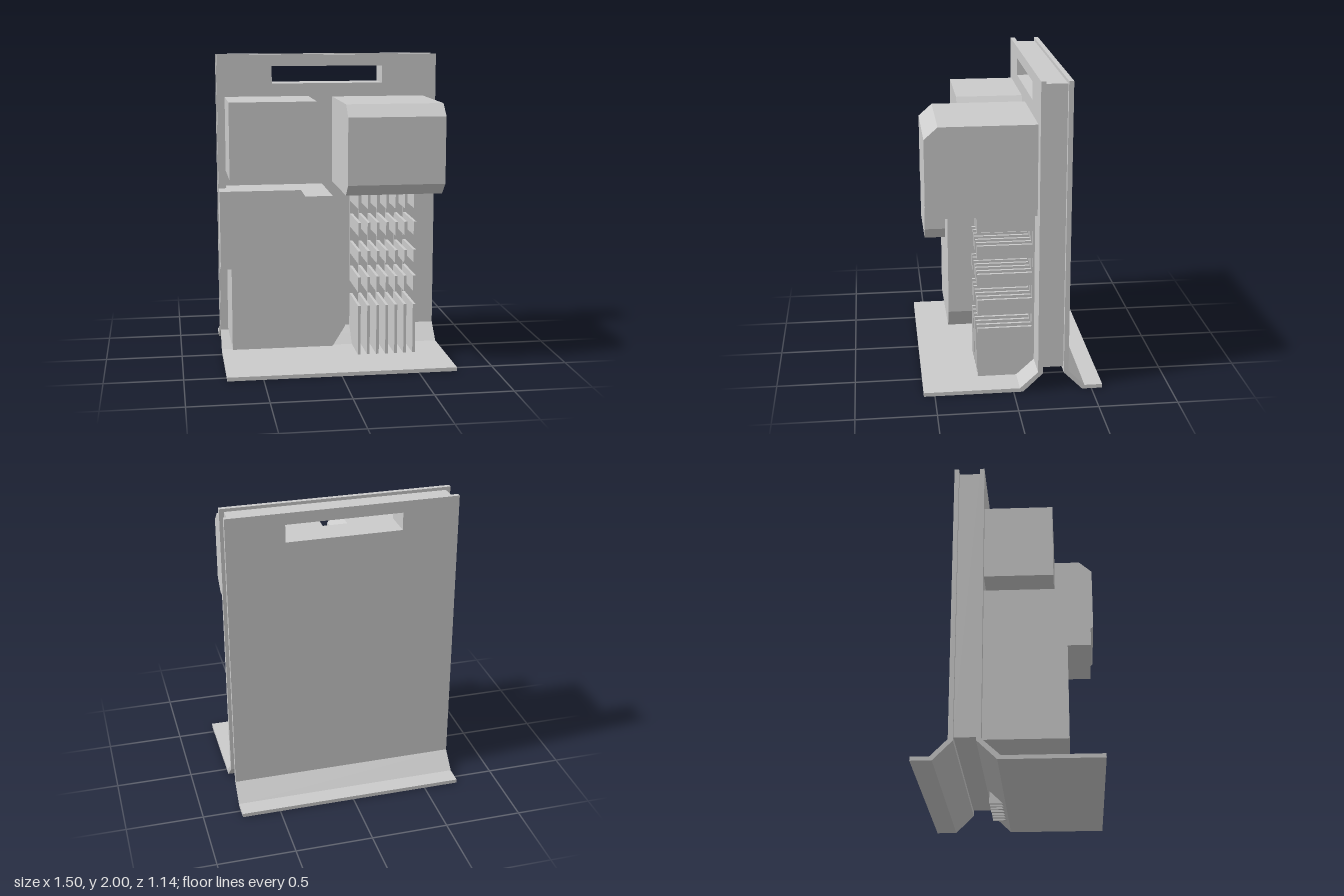
import * as THREE from 'three';

const material = new THREE.MeshStandardMaterial({ color: 0xcccccc, flatShading: true, side: THREE.DoubleSide });
const LEFT = 0.75, RIGHT = -0.73;

const shapeOf = (points) => new THREE.Shape(points.map(([a, b]) => new THREE.Vector2(a, b)));

// Outline in x,y extruded from z0 to z1
function extrudeZ(name, shape, z0, z1) {
  const geo = new THREE.ExtrudeGeometry(shape, { depth: z1 - z0, bevelEnabled: false });
  geo.translate(0, 0, z0);
  const mesh = new THREE.Mesh(geo, material);
  mesh.name = name;
  return mesh;
}

// Profile in z,y extruded from x0 to x1
function extrudeX(name, points, x0, x1) {
  const shape = shapeOf(points.map(([z, y]) => [-z, y]));
  const geo = new THREE.ExtrudeGeometry(shape, { depth: x1 - x0, bevelEnabled: false });
  geo.rotateY(Math.PI / 2);
  geo.translate(x0, 0, 0);
  const mesh = new THREE.Mesh(geo, material);
  mesh.name = name;
  return mesh;
}

// Upright panel with the handle slot cut through it
function slottedPanel(name, x0, x1, y0, y1, z0, z1) {
  const shape = shapeOf([[x0, y0], [x1, y0], [x1, y1], [x0, y1]]);
  shape.holes.push(new THREE.Path([[-0.365, 1.81], [-0.365, 1.925], [0.38, 1.925], [0.38, 1.81]]
    .map(([x, y]) => new THREE.Vector2(x, y))));
  return extrudeZ(name, shape, z0, z1);
}

// Block with its two left-hand corners cut: cx is where the cut starts, cy0 and cy1 its heights
function cutBlock(name, [x0, cx, x1], [y0, cy0, cy1, y1], z0, z1) {
  return extrudeZ(name, shapeOf([
    [x0, y0], [cx, y0], [x1, cy0], [x1, cy1], [cx, y1], [x0, y1],
  ]), z0, z1);
}

export function createModel() {
  const model = new THREE.Group();
  model.name = 'equipmentStand';

  // Two outer plates around a slightly smaller core
  model.add(
    slottedPanel('frontPlate', RIGHT, LEFT, 0.13, 2, -0.185, -0.155),
    slottedPanel('backPlate', RIGHT, LEFT, 0.13, 2, -0.35, -0.32),
    slottedPanel('core', -0.70, 0.72, 0.15, 1.98, -0.32, -0.185),
  );

  // Bent feet
  model.add(
    extrudeX('frontFoot', [
      [-0.155, 0.13], [-0.04, 0.025], [0.57, 0.025], [0.57, 0],
      [-0.06, 0], [-0.185, 0.12], [-0.185, 0.13],
    ], RIGHT, LEFT),
    extrudeX('backFoot', [
      [-0.35, 0.13], [-0.455, 0.025], [-0.57, 0.025], [-0.57, 0],
      [-0.44, 0], [-0.32, 0.12], [-0.32, 0.13],
    ], RIGHT, LEFT),
  );

  // Housings with cut corners
  model.add(
    cutBlock('upperHousing', [-0.68, -0.12, -0.05], [1.23, 1.31, 1.645, 1.725], -0.155, 0.28),
    cutBlock('lowerHousing', [-0.68, -0.03, 0.05], [0.14, 0.27, 1.0, 1.13], -0.155, 0.36),
    cutBlock('frontModule', [-0.755, -0.25, -0.195], [0.705, 0.785, 1.11, 1.195], 0.36, 0.50),
    extrudeX('fanHousing', [
      [-0.155, 1.145], [0.45, 1.145], [0.535, 1.22], [0.535, 1.645], [0.45, 1.72], [-0.155, 1.72],
    ], 0.04, 0.66),
  );

  // Cooling fins, each notched four times from the front
  const profile = [[-0.17, 0.02], [0.21, 0.02]];
  for (const [low, high] of [[0.36, 0.45], [0.555, 0.645], [0.73, 0.83], [0.92, 1.01]]) {
    profile.push([0.21, low], [-0.14, low], [-0.14, high], [0.21, high]);
  }
  profile.push([0.21, 1.145], [-0.17, 1.145]);
  const fins = new THREE.Group();
  fins.name = 'coolingFins';
  for (let i = 0; i < 7; i++) {
    const x = 0.162 + i * 0.0617;
    fins.add(extrudeX('fin', profile, x, x + 0.018));
  }
  model.add(fins);

  return model;
}
